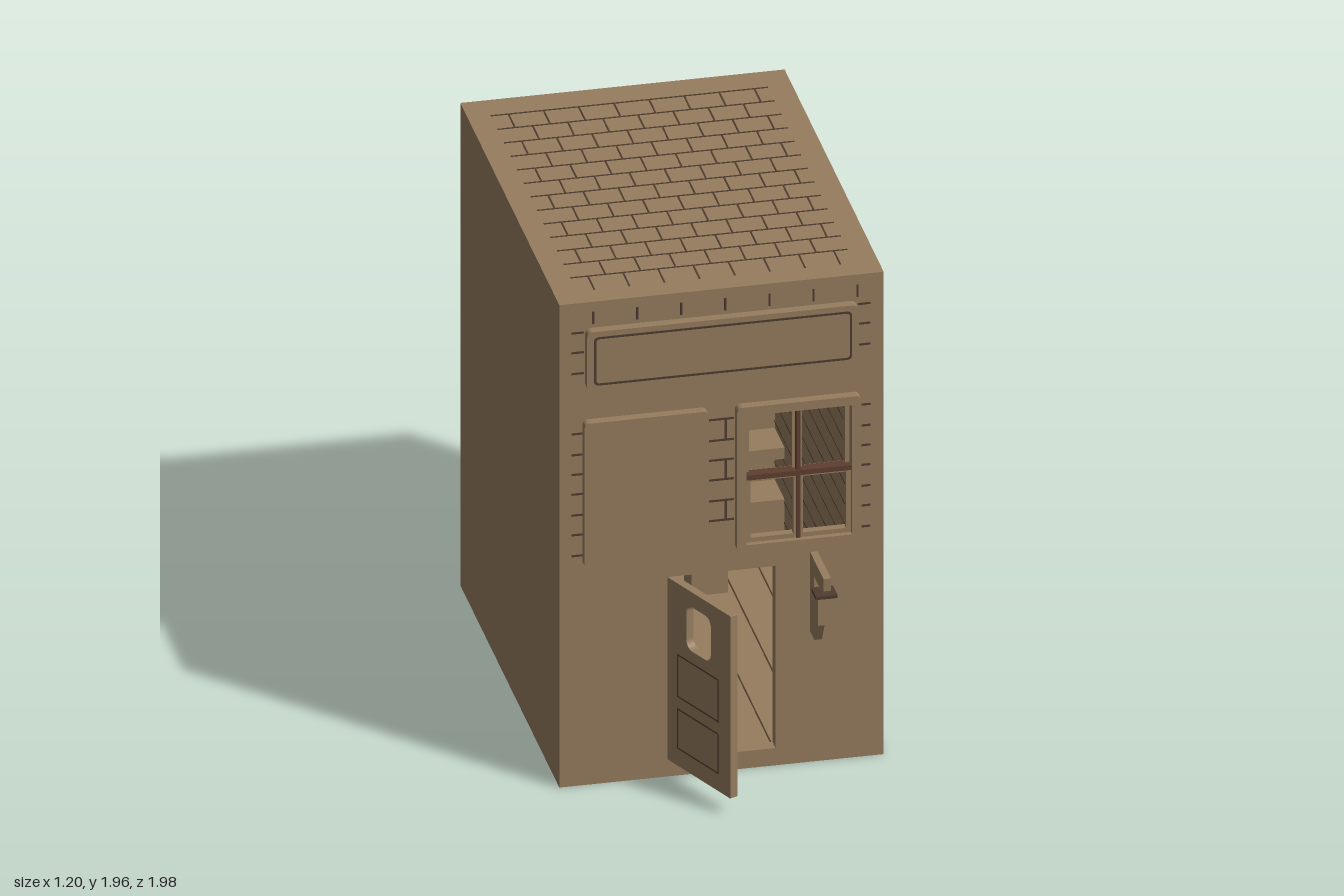
import * as THREE from 'three';

const mat = (name, color) => {
  const m = new THREE.MeshStandardMaterial({ color });
  m.name = name;
  return m;
};

export function createModel() {
  const root = new THREE.Group();
  root.name = 'townhouse';
  const wood = mat('tanWood', 0x967d5e);
  const dark = mat('darkGroove', 0x4f3c2f);
  const red = mat('redBrownBar', 0x5f3f30);
  const green = mat('greenBook', 0x2c4436);
  const purple = mat('purpleBook', 0x45304c);

  const group = (name, parent = root) => {
    const g = new THREE.Group();
    g.name = name;
    parent.add(g);
    return g;
  };
  const add = (parent, name, geo, m) => {
    const mesh = new THREE.Mesh(geo, m);
    mesh.name = name;
    parent.add(mesh);
    return mesh;
  };
  // Box given by its low and high limits on each axis
  const box = (parent, name, m, x0, x1, y0, y1, z0, z1) => {
    const mesh = add(parent, name, new THREE.BoxGeometry(x1 - x0, y1 - y0, z1 - z0), m);
    mesh.position.set((x0 + x1) / 2, (y0 + y1) / 2, (z0 + z1) / 2);
    return mesh;
  };
  // Rounded rectangle outline, usable as shape or hole
  const rounded = (x0, x1, y0, y1, r, S = THREE.Shape) => {
    const s = new S();
    s.moveTo(x0 + r, y0);
    s.lineTo(x1 - r, y0);
    s.absarc(x1 - r, y0 + r, r, -Math.PI / 2, 0);
    s.lineTo(x1, y1 - r);
    s.absarc(x1 - r, y1 - r, r, 0, Math.PI / 2);
    s.lineTo(x0 + r, y1);
    s.absarc(x0 + r, y1 - r, r, Math.PI / 2, Math.PI);
    s.lineTo(x0, y0 + r);
    s.absarc(x0 + r, y0 + r, r, Math.PI, Math.PI * 1.5);
    return s;
  };
  const rect = (x0, x1, y0, y1, S = THREE.Shape) => {
    const s = new S();
    s.moveTo(x0, y0);
    s.lineTo(x1, y0);
    s.lineTo(x1, y1);
    s.lineTo(x0, y1);
    s.closePath();
    return s;
  };
  const plate = (parent, name, m, shape, z0, depth) => {
    const geo = new THREE.ExtrudeGeometry(shape, { depth, bevelEnabled: false, curveSegments: 5 });
    const mesh = add(parent, name, geo, m);
    mesh.position.z = z0;
    return mesh;
  };
  const ring = (parent, name, m, x0, x1, y0, y1, w, r, z0, depth) => {
    const s = rounded(x0, x1, y0, y1, r);
    s.holes.push(rounded(x0 + w, x1 - w, y0 + w, y1 - w, r * 0.7, THREE.Path));
    return plate(parent, name, m, s, z0, depth);
  };

  // Hollow shell with door and window openings
  const F = 0.63;
  const shell = group('shell');
  box(shell, 'floor', wood, -0.6, 0.6, 0, 0.07, -1, 0.58);
  box(shell, 'roof', wood, -0.6, 0.6, 1.9, 1.96, -1, 0.58);
  box(shell, 'backWall', wood, -0.6, 0.6, 0.07, 1.9, -1, -0.94);
  for (const s of [-1, 1]) {
    box(shell, 'sideWall', wood, s < 0 ? -0.6 : 0.55, s < 0 ? -0.55 : 0.6, 0.07, 1.9, -0.94, 0.58);
  }
  const face = rect(-0.6, 0.6, 0, 1.96);
  face.holes.push(rect(-0.2, 0.2, 0.07, 0.81, THREE.Path), rect(0.085, 0.475, 0.925, 1.45, THREE.Path));
  plate(shell, 'frontWall', wood, face, 0.58, 0.05);

  // Roof tile joints
  const tiles = group('roofTiles');
  for (let i = 0; i < 13; i++) {
    const z = -0.875 + i * 0.1088;
    box(tiles, 'tileRow', dark, -0.515, 0.51, 1.959, 1.962, z - 0.003, z + 0.003);
    for (let x = i % 2 ? -0.385 : -0.45; x < 0.5; x += 0.13) {
      box(tiles, 'tileJoint', dark, x - 0.003, x + 0.003, 1.959, 1.962, z, z + 0.1088);
    }
  }

  // Brick joints on the front
  const bricks = group('frontBricks');
  const hLine = (x0, x1, y) => box(bricks, 'brickJoint', dark, x0, x1, y - 0.004, y + 0.004, F - 0.001, F + 0.002);
  const vLine = (x, y0, y1) => box(bricks, 'brickJoint', dark, x - 0.004, x + 0.004, y0, y1, F - 0.001, F + 0.002);
  for (const y of [1.84, 1.76, 1.675, 1.43, 1.345, 1.265, 1.185, 1.1, 1.02, 0.935]) {
    hLine(-0.555, -0.51, y);
    hLine(0.505, 0.55, y);
    if (y < 1.5 && y > 1) hLine(-0.05, 0.045, y);
  }
  for (let i = 0; i < 7; i++) vLine(-0.475 + i * 0.163, 1.87, 1.92);
  for (const y of [1.02, 1.185, 1.35]) vLine(0.015, y, y + 0.08);

  // Sign board and closed shutter panel
  plate(root, 'signBoard', wood, rounded(-0.505, 0.5, 1.612, 1.855, 0.022), F, 0.036);
  ring(root, 'signGroove', dark, -0.48, 0.475, 1.637, 1.833, 0.008, 0.018, F + 0.035, 0.003);
  plate(root, 'shutterPanel', wood, rounded(-0.515, -0.055, 0.895, 1.485, 0.02), F, 0.036);

  // Window frame with two sashes
  const win = group('window');
  const frame = rounded(0.05, 0.51, 0.895, 1.485, 0.02);
  frame.holes.push(rect(0.085, 0.475, 0.925, 1.45, THREE.Path));
  plate(win, 'windowFrame', wood, frame, F, 0.036);
  for (const [y0, y1, z] of [[0.925, 1.19, 0.625], [1.18, 1.45, 0.605]]) {
    for (const [x0, x1] of [[0.085, 0.28], [0.28, 0.475]]) {
      const s = rect(x0, x1, y0, y1);
      s.holes.push(rect(x0 + 0.018, x1 - 0.018, y0 + 0.018, y1 - 0.018, THREE.Path));
      plate(win, 'sash', wood, s, z, 0.02);
    }
  }
  box(win, 'crossBar', red, 0.085, 0.475, 1.18, 1.2, 0.61, 0.652);
  box(win, 'uprightBar', red, 0.273, 0.288, 0.925, 1.45, 0.61, 0.65);

  // Open door with a rounded window and two panels on its outer face
  const door = group('door');
  const leaf = rounded(0, 0.385, 0.07, 0.81, 0.002);
  leaf.holes.push(rounded(0.115, 0.265, 0.57, 0.75, 0.035, THREE.Path));
  plate(door, 'doorLeaf', wood, leaf, -0.032, 0.032);
  for (const [y0, y1] of [[0.14, 0.305], [0.35, 0.525]]) {
    ring(door, 'panelGroove', dark, 0.06, 0.315, y0, y1, 0.006, 0.004, -0.001, 0.003);
  }
  door.position.set(-0.2, 0, 0.63);
  door.rotation.y = -1.16;

  // Wall bracket with a hanging lamp
  const lamp = group('lamp');
  const arm = new THREE.Shape([[0, 0.53], [0.07, 0.53], [0.215, 0.8], [0.22, 0.852], [0, 0.852]]
    .map(([a, b]) => new THREE.Vector2(a, b)));
  arm.holes.push(new THREE.Path([[0.06, 0.785], [0.06, 0.635], [0.155, 0.785]]
    .map(([a, b]) => new THREE.Vector2(a, b))));
  const bracket = plate(lamp, 'bracket', wood, arm, F, 0.028);
  bracket.rotation.y = -Math.PI / 2;
  bracket.position.x = 0.356;
  box(lamp, 'lampBody', wood, 0.31, 0.375, 0.66, 0.766, 0.766, 0.84);
  box(lamp, 'lampCap', dark, 0.302, 0.382, 0.766, 0.778, 0.764, 0.842);

  // Plank joints inside
  const planks = group('planks');
  for (let i = 0; i < 8; i++) {
    const x = -0.46 + i * 0.13;
    box(planks, 'floorJoint', dark, x, x + 0.005, 0.069, 0.072, -0.94, 0.58);
    box(planks, 'backJoint', dark, x - 0.005, x, 0.34, 1.9, -0.941, -0.938);
  }
  for (let y = 0.15; y < 1.85; y += 0.083) {
    box(planks, 'wallJoint', dark, -0.551, -0.548, y, y + 0.005, -0.94, 0.58);
    box(planks, 'wallJoint', dark, 0.548, 0.551, y, y + 0.005, -0.94, 0.58);
  }

  // Bookshelves along the back wall: x0, x1, height, colour
  const library = group('bookshelves');
  const shelves = [
    [0.33, 0.02, [[-0.03, -0.0, 0.02, dark], [0.04, 0.1, 0.14, green], [0.1, 0.16, 0.065, green]]],
    [0.54, 0.045, [[-0.03, 0, 0.23, dark], [0, 0.07, 0.245, purple], [0.072, 0.1, 0.27, purple],
      [0.102, 0.14, 0.27, green], [0.143, 0.2, 0.275, green]]],
    [0.945, 0.03, [[0.12, 0.16, 0.23, green], [0.165, 0.215, 0.315, green], [0.25, 0.268, 0.27, green],
      [0.365, 0.405, 0.31, green]]],
    [1.37, 0.05, []],
  ];
  for (const [y, thick, books] of shelves) {
    box(library, 'shelf', wood, -0.55, 0.55, y - thick, y, -0.94, -0.78);
    for (const [x0, x1, h, m] of books) box(library, 'book', m, x0, x1, y, y + h, -0.92, -0.8);
  }
  box(library, 'lowCabinet', wood, -0.55, 0.55, 0.07, 0.31, -0.94, -0.78);
  box(library, 'sideStand', wood, 0.165, 0.3, 0.12, 0.455, -0.72, -0.6);
  box(library, 'standFoot', wood, 0.165, 0.3, 0.07, 0.12, -0.72, -0.6);
  box(library, 'footstool', wood, -0.015, 0.1, 0.07, 0.115, -0.6, -0.5);
  return root;
}
